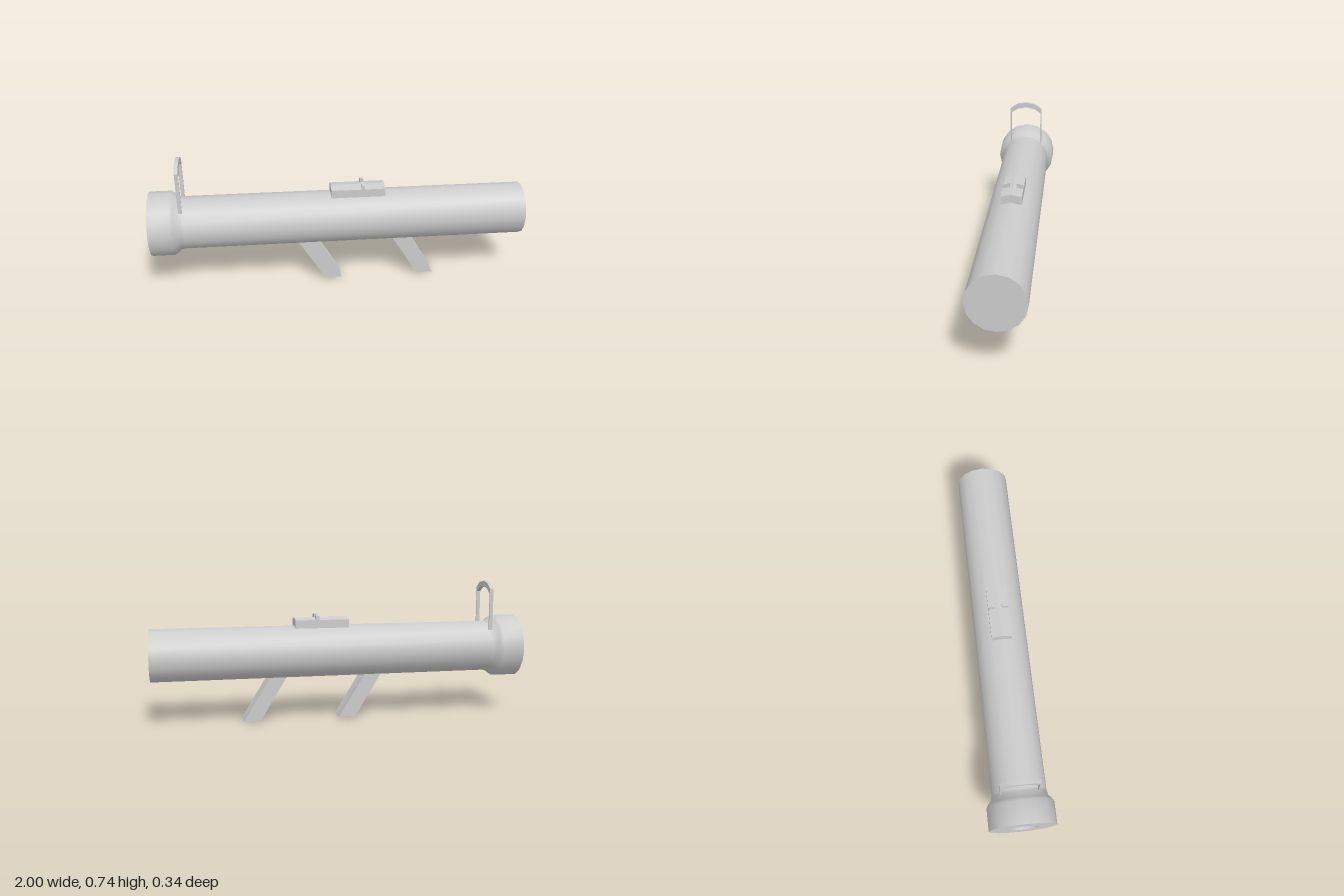
import * as THREE from 'three';
import { toCreasedNormals } from 'three/addons/utils/BufferGeometryUtils.js';

const SIDES = 16;
const AXIS_Y = 0.37;
const grey = new THREE.MeshStandardMaterial({ color: 0xcccccc });

function addMesh(parent, geometry, name, crease = 0.7) {
  const mesh = new THREE.Mesh(toCreasedNormals(geometry, crease), grey);
  mesh.name = name;
  parent.add(mesh);
  return mesh;
}

// Turned part lying along x; profile is [radius, x] pairs
function turned(profile) {
  const points = profile.map(([r, x]) => new THREE.Vector2(r, x));
  return new THREE.LatheGeometry(points, SIDES).rotateZ(-Math.PI / 2).translate(0, AXIS_Y, 0);
}

// Outline in (z, y), extruded along x from x0 to x1
function extrudeX(outline, x0, x1) {
  const shape = new THREE.Shape(outline.map(([z, y]) => new THREE.Vector2(-z, y)));
  return new THREE.ExtrudeGeometry(shape, { depth: x1 - x0, bevelEnabled: false })
    .rotateY(Math.PI / 2).translate(x0, 0, 0);
}

// Slanted grip whose ends follow the ridge of the tube's underside
function gripGeometry() {
  const height = 0.24, slope = 0.61;
  const g = new THREE.BoxGeometry(0.09, height, 0.108, 1, 1, 2);
  const p = g.attributes.position;
  for (let i = 0; i < p.count; i++) {
    const y = p.getY(i) + height / 2;
    const ridge = Math.abs(p.getZ(i)) < 0.01 ? 0 : 0.011;
    p.setXYZ(i, p.getX(i) - 0.035 - y * slope, y + ridge, p.getZ(i));
  }
  return g;
}

export function createModel() {
  const group = new THREE.Group();

  // Main tube with closed muzzle
  addMesh(group, turned([[0.14, -0.9], [0.14, 1], [0, 1]]), 'tube');

  // Flared rear collar with a bore
  addMesh(group, turned([
    [0, -0.7], [0.08, -0.7], [0.08, -1], [0.172, -1],
    [0.172, -0.885], [0.162, -0.868], [0.145, -0.848], [0.138, -0.82],
  ]), 'rearCollar');

  // Arched sight frame
  const outer = [[0.098, 0.47], [0.098, 0.695], [0.055, 0.725], [0, 0.735]];
  const inner = [[0.091, 0.47], [0.091, 0.67], [0.053, 0.695], [0, 0.706]];
  const arch = (half) => [...half, ...half.slice(0, -1).reverse().map(([z, y]) => [-z, y])];
  addMesh(group, extrudeX([...arch(outer), ...arch(inner).reverse()], -0.842, -0.822), 'sightFrame');

  // Raised mount on top of the tube
  addMesh(group, extrudeX([
    [0.054, 0.49], [0.054, 0.543], [0, 0.553], [-0.054, 0.543], [-0.054, 0.49],
  ], -0.043, 0.245), 'sightMount', 0.1);

  // Pair of notch sight posts
  for (const s of [1, -1]) {
    addMesh(group, extrudeX([
      [s * 0.018, 0.54], [s * 0.018, 0.571], [s * 0.054, 0.564], [s * 0.054, 0.54],
    ], 0.117, 0.135), s > 0 ? 'leftSightPost' : 'rightSightPost');
  }

  // Two identical grips
  [['rearGrip', 0], ['frontGrip', 0.515]].forEach(([name, x]) => {
    addMesh(group, gripGeometry(), name).position.x = x;
  });

  return group;
}
